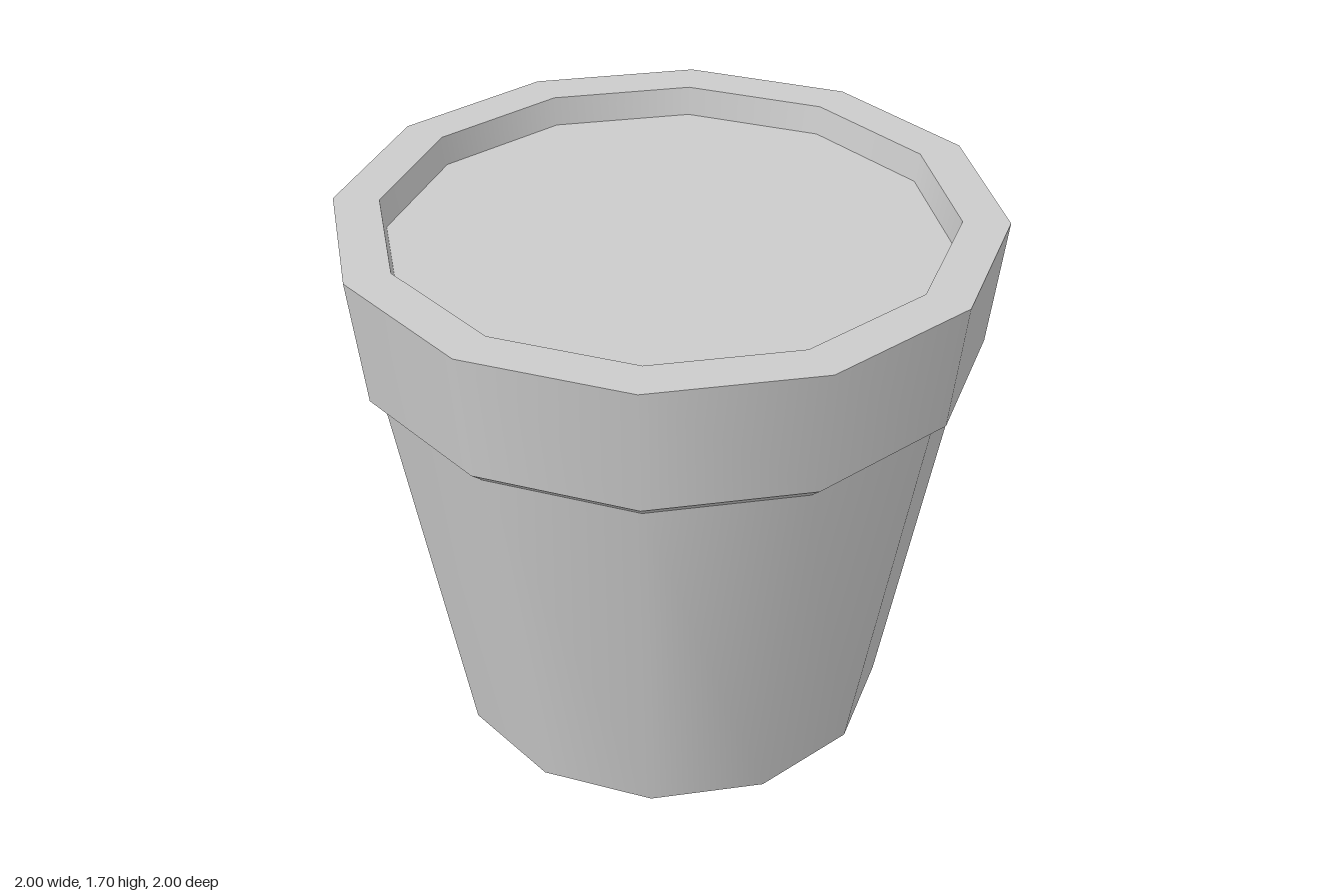
import * as THREE from 'three';

const SIDES = 12;

// Profile of the pot, from the centre of the base round the rim to the centre of the soil.
// Each band is its own lathe: smooth around the pot, sharp between bands.
const START = [0, 0];
const BANDS = [
  ['base', 0.69, 0],
  ['body', 0.91, 1.26],
  ['collarUnderside', 0.955, 1.3],
  ['collar', 1, 1.7],
  ['rimTop', 0.86, 1.7],
  ['innerWall', 0.845, 1.61],
  ['soil', 0, 1.61],
];

export function createModel() {
  const pot = new THREE.Group();
  pot.name = 'flowerPot';
  const material = new THREE.MeshStandardMaterial({ color: 0xcccccc });

  let previous = new THREE.Vector2(...START);
  for (const [name, radius, height] of BANDS) {
    const next = new THREE.Vector2(radius, height);
    const band = new THREE.Mesh(new THREE.LatheGeometry([previous, next], SIDES), material);
    band.name = name;
    pot.add(band);
    previous = next;
  }
  return pot;
}
